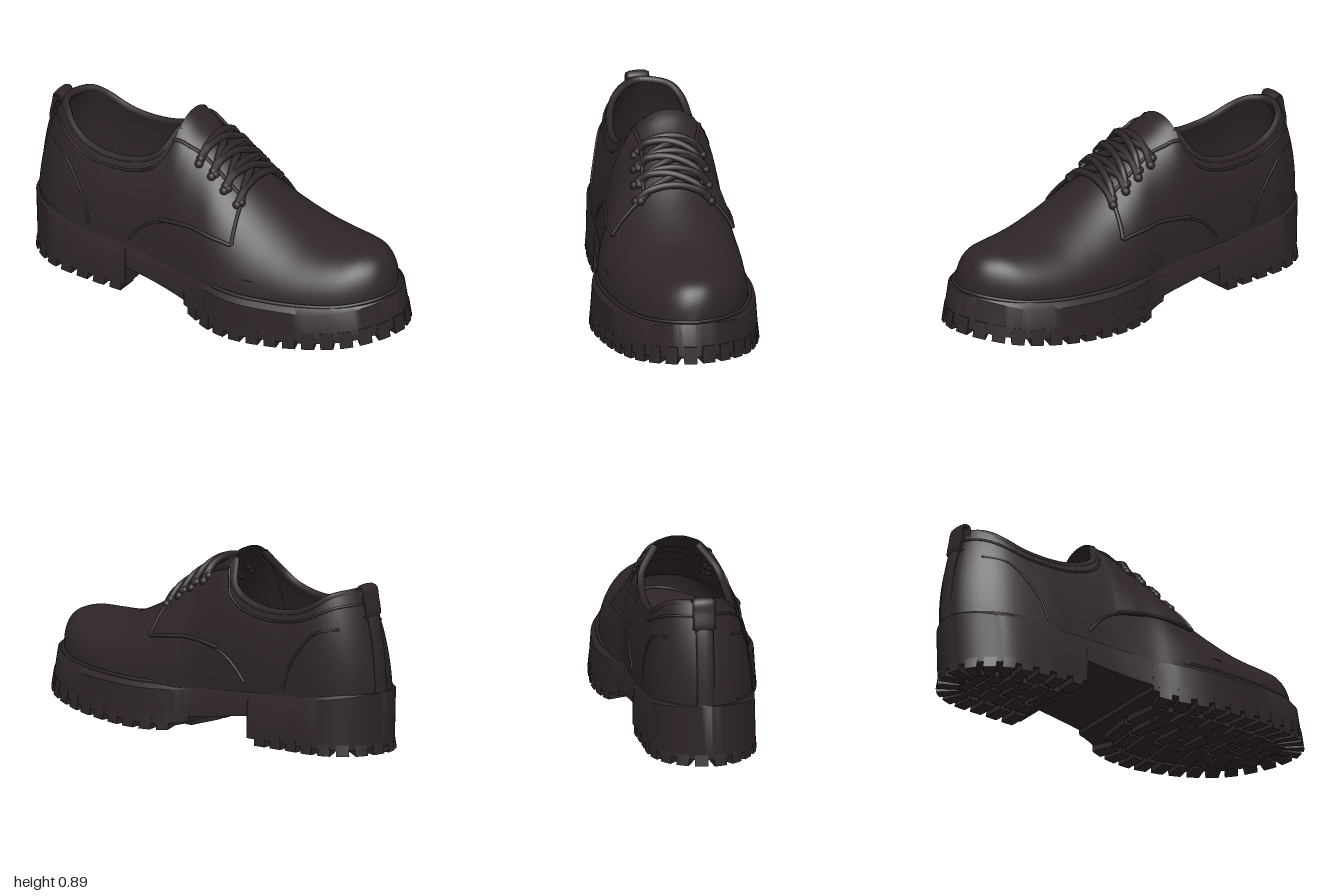
import * as THREE from 'three';
import { toCreasedNormals } from 'three/addons/utils/BufferGeometryUtils.js';

const V = (x, y, z) => new THREE.Vector3(x, y, z);
const leather = new THREE.MeshStandardMaterial({ color: 0x2e2526, side: THREE.DoubleSide });
leather.name = 'darkBrownLeather';

// Smooth lookup y(x) through a few points
function curveFn(pts) {
  const s = new THREE.CatmullRomCurve3(pts.map(p => V(p[0], p[1], 0))).getPoints(400);
  return x => {
    if (x <= s[0].x) return s[0].y;
    for (let i = 1; i < s.length; i++) if (x <= s[i].x) {
      const a = s[i - 1], b = s[i];
      return a.y + (b.y - a.y) * (x - a.x) / Math.max(b.x - a.x, 1e-6);
    }
    return s[s.length - 1].y;
  };
}

// Surface from fn(u, v)
function grid(fn, nu, nv) {
  const pos = [], idx = [];
  for (let i = 0; i <= nu; i++) for (let j = 0; j <= nv; j++) pos.push(...fn(i / nu, j / nv).toArray());
  for (let i = 0; i < nu; i++) for (let j = 0; j < nv; j++) {
    const a = i * (nv + 1) + j, b = a + nv + 1;
    idx.push(a, b, a + 1, b, b + 1, a + 1);
  }
  const g = new THREE.BufferGeometry();
  g.setAttribute('position', new THREE.Float32BufferAttribute(pos, 3));
  g.setIndex(idx);
  g.computeVertexNormals();
  return g;
}

// Solid from equal-sized section loops, with end caps
function loft(sections) {
  const m = sections[0].length, pos = sections.flat().flatMap(p => p.toArray()), idx = [];
  for (let i = 0; i < sections.length - 1; i++) for (let j = 0; j < m; j++) {
    const a = i * m + j, b = i * m + (j + 1) % m;
    idx.push(a, a + m, b, a + m, b + m, b);
  }
  const e = (sections.length - 1) * m;
  for (let j = 1; j < m - 1; j++) idx.push(0, j, j + 1, e, e + j + 1, e + j);
  const g = new THREE.BufferGeometry();
  g.setAttribute('position', new THREE.Float32BufferAttribute(pos, 3));
  g.setIndex(idx);
  return toCreasedNormals(g, 0.6);
}

// Sole plan edges and heights
const edgeP = curveFn([[-1, 0], [-.98, .07], [-.92, .15], [-.8, .225], [-.6, .255], [-.4, .262], [-.2, .275], [0, .315],
  [.1, .355], [.2, .38], [.3, .387], [.4, .378], [.6, .34], [.8, .265], [.9, .19], [.97, .1], [1, 0]]);
const edgeN = curveFn([[-1, 0], [-.98, -.1], [-.92, -.2], [-.8, -.268], [-.6, -.285], [-.4, -.295], [-.2, -.3], [0, -.315],
  [.1, -.35], [.2, -.375], [.3, -.387], [.4, -.385], [.6, -.36], [.8, -.285], [.9, -.205], [.97, -.11], [1, 0]]);
const soleTop = curveFn([[-1, .3], [-.5, .28], [-.2, .262], [0, .245], [.2, .235], [.5, .242], [.8, .26], [1, .285]]);
const foreBottom = curveFn([[-.03, .035], [.1, .015], [.25, .012], [.5, .027], [.8, .06], [1, .1]]);
const tread = x => x < -.2 ? .005 : foreBottom(x);
const bodyBottom = x => x <= -.38 ? .035 : x < -.03 ? .14 - .05 * (x + .38) / .35 : foreBottom(x) + .03;
const lean = x => x > 0 ? x - .04 * x * x : x;

// Upper: silhouette, collar height and section point
const ridge = curveFn([[-.985, 1], [-.9, .98], [-.7, .88], [-.5, .84], [-.35, .86], [-.2, .895], [-.1, .83], [0, .775], [.1, .705],
  [.2, .63], [.3, .57], [.4, .52], [.5, .482], [.6, .467], [.7, .465], [.8, .463], [.87, .435], [.91, .38], [.935, .27]]);
const collarY = curveFn([[-.985, .78], [-.9, .765], [-.8, .725], [-.7, .685], [-.6, .665], [-.5, .66], [-.4, .672], [-.3, .71], [-.25, .755], [-.2, .86]]);
const roundness = x => .87 + .17 * Math.exp(-(((x - .21) / .29) ** 2));
const widthScale = curveFn([[-1, .86], [-.8, .91], [-.5, .96], [-.2, .96], [.3, .875], [1, .88]]);
function upperAt(x, a, side, off = 0) {
  const xs = Math.max(-1, Math.min(1, (x + .025) / .96)), e = roundness(x);
  const p = edgeP(xs), n = edgeN(xs), yb = soleTop(xs) - .02, h = Math.max(ridge(x) - yb, 0);
  const w = (p - n) / 2 * widthScale(xs);
  const y = yb + h * Math.pow(Math.max(Math.sin(a), 0), e);
  const z = (p + n) / 2 - .05 * (y - yb) / .65 + side * w * Math.pow(Math.max(Math.cos(a), 0), e);
  const k = (.49 - .45 * Math.max(y - .3, 0) ** 2) / .485;
  const back = Math.max(0, (-.8 - x) / .185);
  return V((x < -.5 ? -.5 + (x + .5) * k : x) - off * back, y + off * Math.sin(a), z + side * off * Math.cos(a));
}
// Section angle that reaches height y
function angleAt(x, y) {
  const yb = soleTop((x + .025) / .96) - .02;
  return Math.asin(Math.pow(Math.min(1, Math.max(0, (y - yb) / (ridge(x) - yb))), 1 / roundness(x)));
}

export function createModel() {
  const shoe = new THREE.Group();
  shoe.name = 'shoe';
  const add = (name, geo, parent = shoe) => {
    const m = new THREE.Mesh(geo, leather);
    m.name = name;
    parent.add(m);
    return m;
  };
  const group = name => {
    const g = new THREE.Group();
    g.name = name;
    shoe.add(g);
    return g;
  };
  const tube = (name, pts, r, parent, closed = false, n = 40) =>
    add(name, new THREE.TubeGeometry(new THREE.CatmullRomCurve3(pts, closed), n, r, 8, closed), parent);

  // Sole body with sloped top edge, raised waist and heel breast
  const xs = [];
  for (let i = 0; i <= 90; i++) xs.push(-Math.cos(Math.PI * i / 90));
  xs.push(-.38, -.379, -.031, -.029);
  xs.sort((a, b) => a - b);
  add('soleBody', loft(xs.map(x => {
    const b = bodyBottom(x), t = soleTop(x), p = edgeP(x), n = edgeN(x), l = lean(x);
    const shoulder = t - .03 * Math.min(1, (1 - Math.abs(x)) * 4);
    return [V(x * .99, b, p * .988), V(l, shoulder, p * .962), V(l, t, p * .89),
      V(l, t, n * .89), V(l, shoulder, n * .962), V(x * .99, b, n * .988)];
  })));

  // Rim lugs and welt follow the sole outline
  const ring = [];
  for (let i = 0; i < 160; i++) {
    const t = i / 160 * Math.PI * 2, x = Math.cos(t);
    ring.push(V(x, 0, Math.sin(t) >= 0 ? edgeP(x) : edgeN(x)));
  }
  const N = 300, rim = new THREE.CatmullRomCurve3(ring, true).getSpacedPoints(N);
  const lugs = group('treadLugs');
  for (let i = 0; i < N; i += 6) {
    const mid = rim[(i + 2) % N];
    if (mid.x > -.42 && mid.x < .01) continue;
    const sections = [];
    for (let k = 0; k < 5; k++) {
      const p = rim[(i + k) % N], d = rim[(i + k + 1) % N].clone().sub(rim[(i + k + N - 1) % N]).normalize();
      const q = V(p.x - d.z * .11, 0, p.z + d.x * .11);
      const b = tread(p.x), t = bodyBottom(p.x) + .05;
      sections.push([V(p.x, b, p.z), V(p.x * .986, t, p.z * .98), V(q.x, t, q.z), V(q.x, b, q.z)]);
    }
    add('rimLug', loft(sections), lugs);
  }
  // Inner tread bars
  for (let x = -.84, row = 0; x < .86; x += .075, row++) {
    if (x > -.44 && x < .04) continue;
    const a = edgeN(x) + .125, b = edgeP(x) - .125, n = row % 2 ? 3 : 2, w = (b - a) / n;
    if (b - a < .08) continue;
    for (let k = 0; k < n; k++) {
      const m = add('treadBar', new THREE.BoxGeometry(.058, .05, w - .015), lugs);
      m.position.set(x, tread(x) + .028, a + w * (k + .5));
      m.rotation.y = k % 2 ? .1 : -.1;
    }
  }
  tube('welt', rim.slice(0, N).filter((p, i) => i % 3 === 0).map(p => V(lean(p.x) * .975, soleTop(p.x), p.z * .89)), .009, shoe, true, 200);

  // Vamp, toe and tongue in one arched shell
  add('vamp', grid((u, v) => {
    const x = -.2 + 1.135 * Math.sin(u * Math.PI / 2);
    return v <= .5 ? upperAt(x, v * Math.PI, 1) : upperAt(x, (1 - v) * Math.PI, -1);
  }, 60, 48));

  // Quarters wrapping the heel, lining and collar rim
  const quarter = (u, v, off) => {
    const t = Math.abs(u * 2 - 1), x = -.985 + .785 * (1 - Math.cos(t * Math.PI / 2));
    return upperAt(x, angleAt(x, collarY(x)) * v, u < .5 ? 1 : -1, off);
  };
  add('quarters', grid((u, v) => quarter(u, v, 0), 80, 20));
  add('lining', grid((u, v) => quarter(u, v, -.03), 80, 20));
  const along = (v, off, n = 48) => Array.from({ length: n + 1 }, (_, i) => quarter(i / n, v, off));
  tube('collarRim', along(1, -.014), .018, shoe, false, 120);
  tube('collarSeam', along(.84, .001), .006, shoe, false, 120);

  // Insole
  add('insole', grid((u, v) => {
    const x = -.93 + 1.28 * (1 - Math.cos(u * Math.PI)) / 2;
    return V(x, .31, (edgeN(x) + (edgeP(x) - edgeN(x)) * v) * .82);
  }, 30, 4));

  // Lace flaps and seams on both sides
  const lower = curveFn([[-.35, .4], [-.2, .445], [0, .465], [.1, .455], [.215, .44]]);
  for (const s of [1, -1]) {
    const flap = group(s > 0 ? 'leftLaceFlap' : 'rightLaceFlap');
    const at = (u, v) => {
      const x = -.2 + .41 * u, a = angleAt(x, lower(x)), b = 1.02 + .12 * Math.min(1, u * 3);
      return upperAt(x - .03 * v * u, a + (b - a) * v, s, .001 + .011 * Math.min(1, u * 4));
    };
    add('flap', grid(at, 24, 14), flap);
    const edge = [];
    for (let i = 0; i <= 10; i++) edge.push(at(i / 10, 0));
    for (let i = 1; i <= 8; i++) edge.push(at(1, i / 8));
    for (let i = 9; i >= 0; i--) edge.push(at(i / 10, 1));
    tube('flapEdge', edge, .009, flap, false, 90);
    const line = (name, pts) => tube(name, pts.map(([x, y]) => upperAt(x, angleAt(x, y), s, .001)), .006, flap);
    line('vampSeam', [[-.36, .3], [-.31, .36], [-.25, .41], [-.18, .44], [-.05, .465]]);
    line('counterSeam', [[-.9, .61], [-.78, .58], [-.69, .5], [-.62, .4], [-.585, .3]]);
  }

  // Laces: bars across and crossing diagonals, with eyelets
  const laces = group('laces');
  const lace = (xl, xr, a, off) => {
    const pts = [];
    for (let i = 0; i <= 12; i++) {
      const t = i / 12, ang = a + (Math.PI - 2 * a) * t, x = xl + (xr - xl) * t;
      const o = off * Math.min(1, .4 + 4 * Math.min(t, 1 - t));
      pts.push(t <= .5 ? upperAt(x, ang, 1, o) : upperAt(x, Math.PI - ang, -1, o));
    }
    tube('lace', pts, .018, laces, false, 30);
    for (const p of [pts[0], pts[12]]) add('eyelet', new THREE.SphereGeometry(.022, 12, 8), laces).position.copy(p);
  };
  for (let i = 0; i < 4; i++) {
    const x = -.055 + i * .075;
    lace(x, x + .02, 1.02, .024);
    if (i < 3) {
      lace(x, x + .085, 1.08, .03);
      lace(x + .085, x, 1.08, .018);
    }
  }

  // Heel strap and pull loop, flattened from round tubes
  const pull = group('heelPull');
  pull.position.z = -.035;
  const strap = tube('backStrap', [V(-.985, .3, 0), V(-.975, .45, 0), V(-.945, .62, 0), V(-.9, .75, 0)], .014, pull);
  strap.scale.z = 3;
  const loop = tube('pullLoop', [V(-.935, .66, 0), V(-.925, .74, 0), V(-.915, .785, 0), V(-.895, .797, 0), V(-.878, .785, 0),
    V(-.882, .74, 0), V(-.9, .67, 0)], .011, pull, true, 50);
  loop.scale.z = 5;
  return shoe;
}
